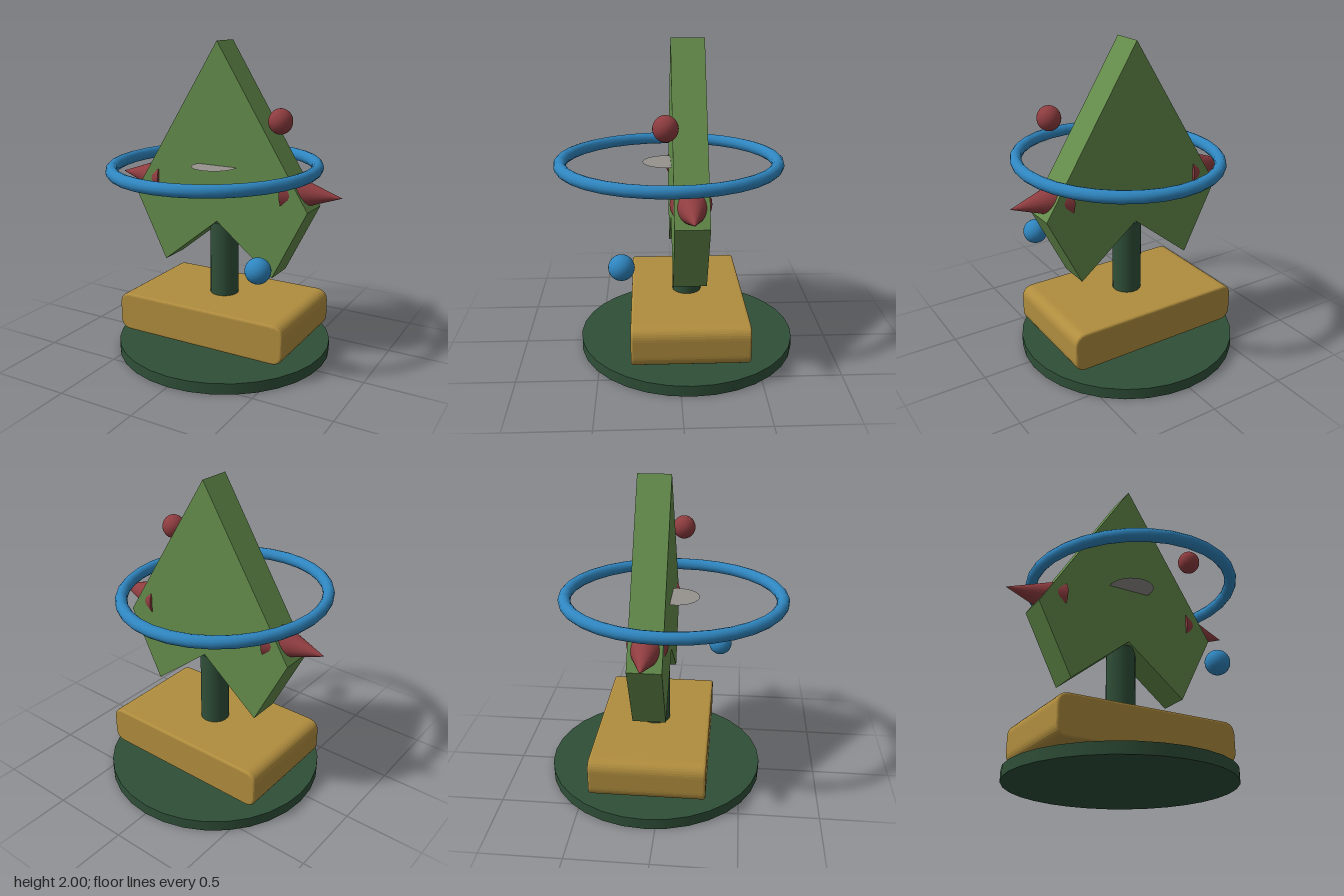
import * as THREE from 'three';

const material = (name, color, side = THREE.FrontSide) => {
  const m = new THREE.MeshStandardMaterial({ color, side });
  m.name = name;
  return m;
};

// Upright parts share one axis, slightly behind the origin
const AXIS_Z = -0.065;

// Extrusion centred on its own depth
function centredExtrude(shape, depth, options = {}) {
  const geometry = new THREE.ExtrudeGeometry(shape, { depth, bevelEnabled: false, ...options });
  return geometry.translate(0, 0, -depth / 2);
}

function roundedRect(w, h, r) {
  const s = new THREE.Shape();
  s.moveTo(-w, -h + r);
  s.lineTo(-w, h - r);
  s.quadraticCurveTo(-w, h, -w + r, h);
  s.lineTo(w - r, h);
  s.quadraticCurveTo(w, h, w, h - r);
  s.lineTo(w, -h + r);
  s.quadraticCurveTo(w, -h, w - r, -h);
  s.lineTo(-w + r, -h);
  s.quadraticCurveTo(-w, -h, -w, -h + r);
  return s;
}

export function createModel() {
  const group = new THREE.Group();
  const darkGreen = material('dark green', 0x2f4f38);
  const leafGreen = material('leaf green', 0x648c4b);
  const gold = material('gold', 0xb08d3e);
  const red = material('brick red', 0x8f3d40);
  const blue = material('blue', 0x2f86c0);
  const grey = material('grey', 0x96918d, THREE.DoubleSide);

  const add = (name, geometry, mat, x, y, z) => {
    const mesh = new THREE.Mesh(geometry, mat);
    mesh.name = name;
    mesh.position.set(x, y, z);
    group.add(mesh);
    return mesh;
  };

  // Base disc, floating block and column
  add('baseDisc', new THREE.CylinderGeometry(0.697, 0.697, 0.07, 32), darkGreen, 0, 0.035, AXIS_Z);
  const block = centredExtrude(roundedRect(0.572, 0.11, 0.06), 0.69, {
    bevelEnabled: true, bevelSize: 0.015, bevelThickness: 0.015, bevelSegments: 3, curveSegments: 8,
  });
  add('block', block, gold, 0, 0.25, AXIS_Z);
  add('column', new THREE.CylinderGeometry(0.092, 0.092, 0.5, 24), darkGreen, 0, 0.61, AXIS_Z);

  // Arrow-shaped plate with a notch over the column
  const outline = [[0, 2], [-0.615, 1.015], [-0.39, 0.567], [0, 0.88], [0.39, 0.567], [0.615, 1.015]];
  const plate = new THREE.Shape(outline.map(([x, y]) => new THREE.Vector2(x, y)));
  add('arrowPlate', centredExtrude(plate, 0.204), leafGreen, 0, 0, AXIS_Z);

  // Side spikes
  for (const side of [-1, 1]) {
    const spike = add(side > 0 ? 'leftSpike' : 'rightSpike',
      new THREE.ConeGeometry(0.123, 0.356, 24), red, side * 0.614, 1.105, AXIS_Z);
    spike.rotation.z = -side * Math.PI / 2;
  }

  // Oval ring with a flat disc at its level
  const ring = new THREE.TorusGeometry(0.677, 0.039, 12, 32).rotateX(Math.PI / 2).scale(0.917, 1, 1);
  add('ring', ring, blue, 0, 1.239, 0.048);
  add('flatDisc', new THREE.CircleGeometry(0.143, 32).rotateX(-Math.PI / 2), grey, 0, 1.24, 0.07);

  // Floating balls
  add('redBall', new THREE.SphereGeometry(0.076, 24, 16).scale(0.95, 1, 0.97), red, 0.45, 1.554, 0.08);
  add('blueBall', new THREE.SphereGeometry(0.078, 24, 16), blue, 0.447, 0.723, 0.342);

  return group;
}
